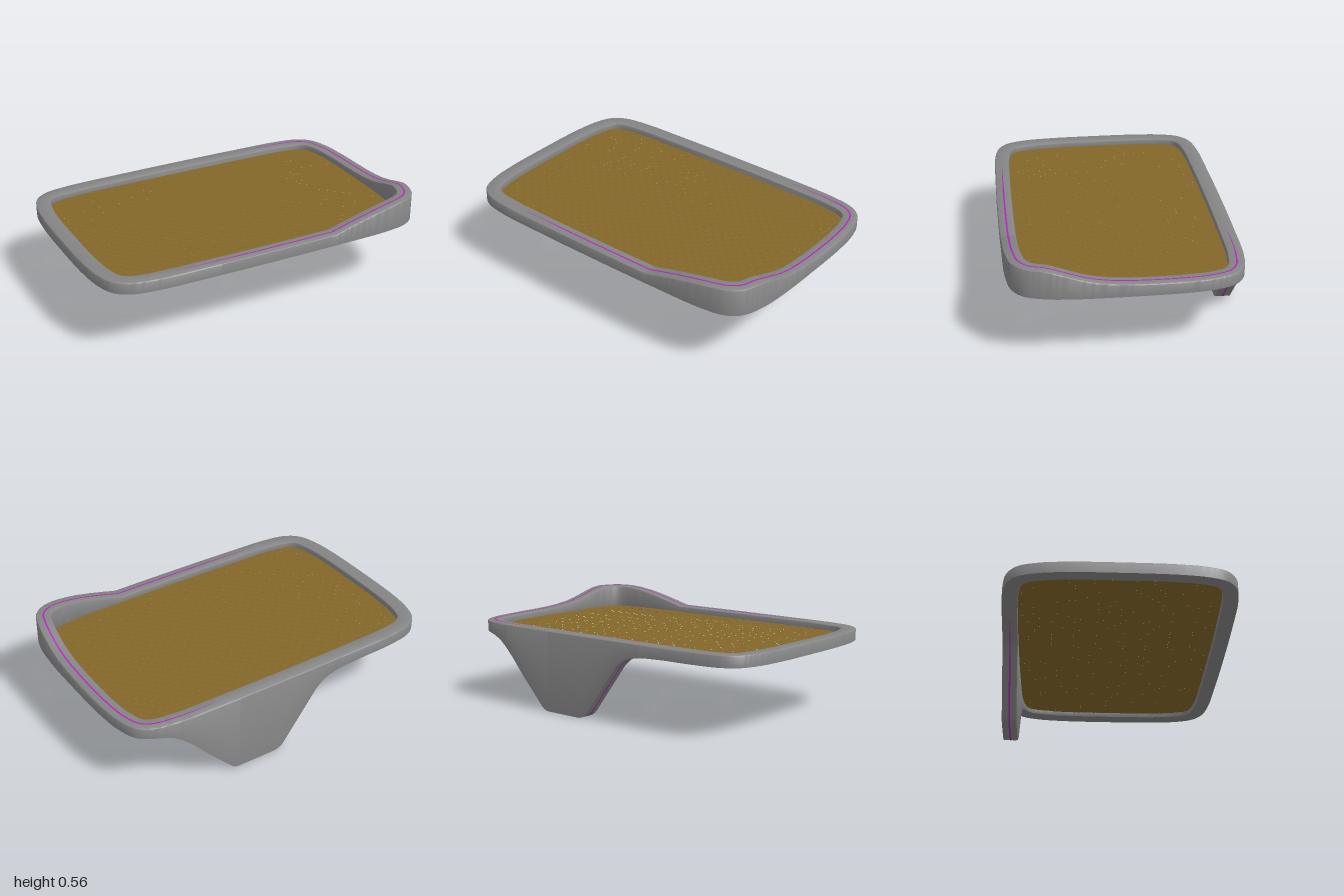
import * as THREE from 'three';
import { mergeGeometries, toCreasedNormals } from 'three/addons/utils/BufferGeometryUtils.js';

const BASE = 0.4, TOP = 0.465, WIDTH = 0.088, STEPS = 400;
const PANEL_Y = 0.43;

// Piecewise curve through [position, height] pairs
function lookup(pairs, v) {
  if (v <= pairs[0][0]) return pairs[0][1];
  for (let i = 1; i < pairs.length; i++) {
    const [a, ya] = pairs[i - 1], [b, yb] = pairs[i];
    if (v <= b) return ya + (yb - ya) * (v - a) / (b - a);
  }
  return pairs[pairs.length - 1][1];
}

const legEdge = [[-0.5, 0.4], [-0.38, 0.396], [-0.3, 0.388], [-0.25, 0.375], [-0.21, 0.355], [-0.17, 0.32],
  [0.05, 0.03], [0.07, 0.011], [0.1, 0], [0.36, 0], [0.39, 0.014], [0.55, 0.18], [0.64, 0.28],
  [0.7, 0.335], [0.75, 0.37], [0.8, 0.39], [0.86, 0.4]];
const frontRise = [[0.37, TOP], [0.45, 0.487], [0.55, 0.512], [0.65, 0.534], [0.75, 0.55], [0.82, 0.557], [0.9, 0.56]];
const sideRise = [[-0.3, TOP], [-0.1, 0.467], [0, 0.47], [0.1, 0.477], [0.18, 0.488], [0.25, 0.504],
  [0.35, 0.535], [0.41, 0.552], [0.46, 0.56]];

const bottomAt = (x, z) => (z < -0.3 ? lookup(legEdge, x) : BASE);
function topAt(x, z) {
  if (x < 0.37) return TOP;
  return Math.min(lookup(sideRise, z), z > 0 ? lookup(frontRise, x) : 1);
}

// Rounded outline, mirrored from one quarter, running from -x round by -z, +x and +z
function makeOutline() {
  const quarter = [[1, 0], [0.994, 0.3], [0.975, 0.45], [0.935, 0.555], [0.86, 0.612], [0.72, 0.639], [0.4, 0.649], [0, 0.652]];
  const half = [...quarter, ...quarter.slice(0, -1).reverse().map(([x, z]) => [-x, z])];
  const full = [...half, ...half.slice(1, -1).reverse().map(([x, z]) => [x, -z])];
  const curve = new THREE.CatmullRomCurve3(full.map(([x, z]) => new THREE.Vector3(x, 0, z)), true, 'centripetal');
  curve.arcLengthDivisions = 4000;
  return Array.from({ length: STEPS }, (_, i) => {
    const u = (i / STEPS + 0.5) % 1;
    const p = curve.getPointAt(u), t = curve.getTangentAt(u);
    return { x: p.x, z: p.z, nx: t.z, nz: -t.x };
  });
}

// Rim and leg: one closed section swept round, with varying top and bottom
function makeFrame(outline) {
  const pos = [], index = [];
  const r = 0.01;
  let n = 0;
  for (const { x, z, nx, nz } of outline) {
    const b = bottomAt(x, z), h = topAt(x, z);
    const section = [[0, b], [0, h - 0.005], [0.002, h - 0.0015], [0.005, h],
      [WIDTH - r, h], [WIDTH - r * 0.3, h - r * 0.3], [WIDTH, h - r],
      [WIDTH, b + r], [WIDTH - r * 0.3, b + r * 0.3], [WIDTH - r, b]];
    n = section.length;
    for (const [inset, y] of section) pos.push(x - nx * inset, y, z - nz * inset);
  }
  for (let i = 0; i < STEPS; i++) {
    for (let j = 0; j < n; j++) {
      const i2 = (i + 1) % STEPS, j2 = (j + 1) % n;
      const a = i * n + j, b = i2 * n + j, c = i * n + j2, d = i2 * n + j2;
      index.push(a, c, b, b, c, d);
    }
  }
  const geo = new THREE.BufferGeometry();
  geo.setAttribute('position', new THREE.Float32BufferAttribute(pos, 3));
  geo.setIndex(index);
  return toCreasedNormals(geo, 0.6);
}

// Over-and-under ribbons in both directions, ending inside the rim
function makeWeave() {
  const pitch = 0.0325, a = 0.94, b = 0.59, power = 7, ribbons = [];
  const lay = (across, along, turned) => {
    const count = Math.floor(across / pitch);
    for (let k = -count; k <= count; k++) {
      const offset = k * pitch;
      const reach = along * Math.pow(Math.max(0, 1 - Math.pow(Math.abs(offset) / across, power)), 1 / power);
      const geo = new THREE.PlaneGeometry(2 * reach, pitch * 0.96, Math.ceil(4 * reach / pitch), 1);
      geo.rotateX(-Math.PI / 2);
      const p = geo.attributes.position;
      const sign = (k % 2 ? -1 : 1) * (turned ? -1 : 1);
      for (let i = 0; i < p.count; i++) p.setY(i, sign * 0.002 * Math.cos(Math.PI * p.getX(i) / pitch));
      geo.computeVertexNormals();
      if (turned) geo.rotateY(Math.PI / 2);
      geo.translate(turned ? offset : 0, PANEL_Y, turned ? 0 : offset);
      ribbons.push(geo);
    }
  };
  lay(b, a, false);
  lay(a, b, true);
  return mergeGeometries(ribbons);
}

// Flat inlaid line along the middle of the rim, tapering at both ends
function makeInlay(samples, heightAt) {
  const pos = [], index = [];
  samples.forEach((s, i) => {
    const half = 0.0045 * Math.min(1, 0.2 + Math.min(i, samples.length - 1 - i) / 30);
    for (const inset of [0.043 - half, 0.043 + half]) {
      pos.push(s.x - s.nx * inset, heightAt(s.x, s.z), s.z - s.nz * inset);
    }
    if (i) index.push(2 * i - 2, 2 * i - 1, 2 * i, 2 * i, 2 * i - 1, 2 * i + 1);
  });
  const geo = new THREE.BufferGeometry();
  geo.setAttribute('position', new THREE.Float32BufferAttribute(pos, 3));
  geo.setIndex(index);
  geo.computeVertexNormals();
  return geo;
}

export function createModel() {
  const group = new THREE.Group();
  const outline = makeOutline();
  const add = (name, geometry, color, side = THREE.FrontSide) => {
    const mesh = new THREE.Mesh(geometry, new THREE.MeshStandardMaterial({ color, side }));
    mesh.name = name;
    group.add(mesh);
  };

  add('rimAndLeg', makeFrame(outline), 0x858585);
  add('wovenPanel', makeWeave(), 0x836729, THREE.DoubleSide);

  // Coloured inlays on the top of the rim and round the edge of the leg
  const topLine = outline.filter(s => (s.z < 0 ? s.x > 0.45 : s.x > -0.55));
  const legLine = outline.filter(s => s.z < -0.3 && s.x > -0.45 && s.x < 0.85);
  add('rimInlay', makeInlay(topLine, (x, z) => topAt(x, z) + 0.0012), 0xb422c0, THREE.DoubleSide);
  add('legInlay', makeInlay(legLine, (x, z) => bottomAt(x, z) - 0.0012), 0xb422c0, THREE.DoubleSide);
  return group;
}
